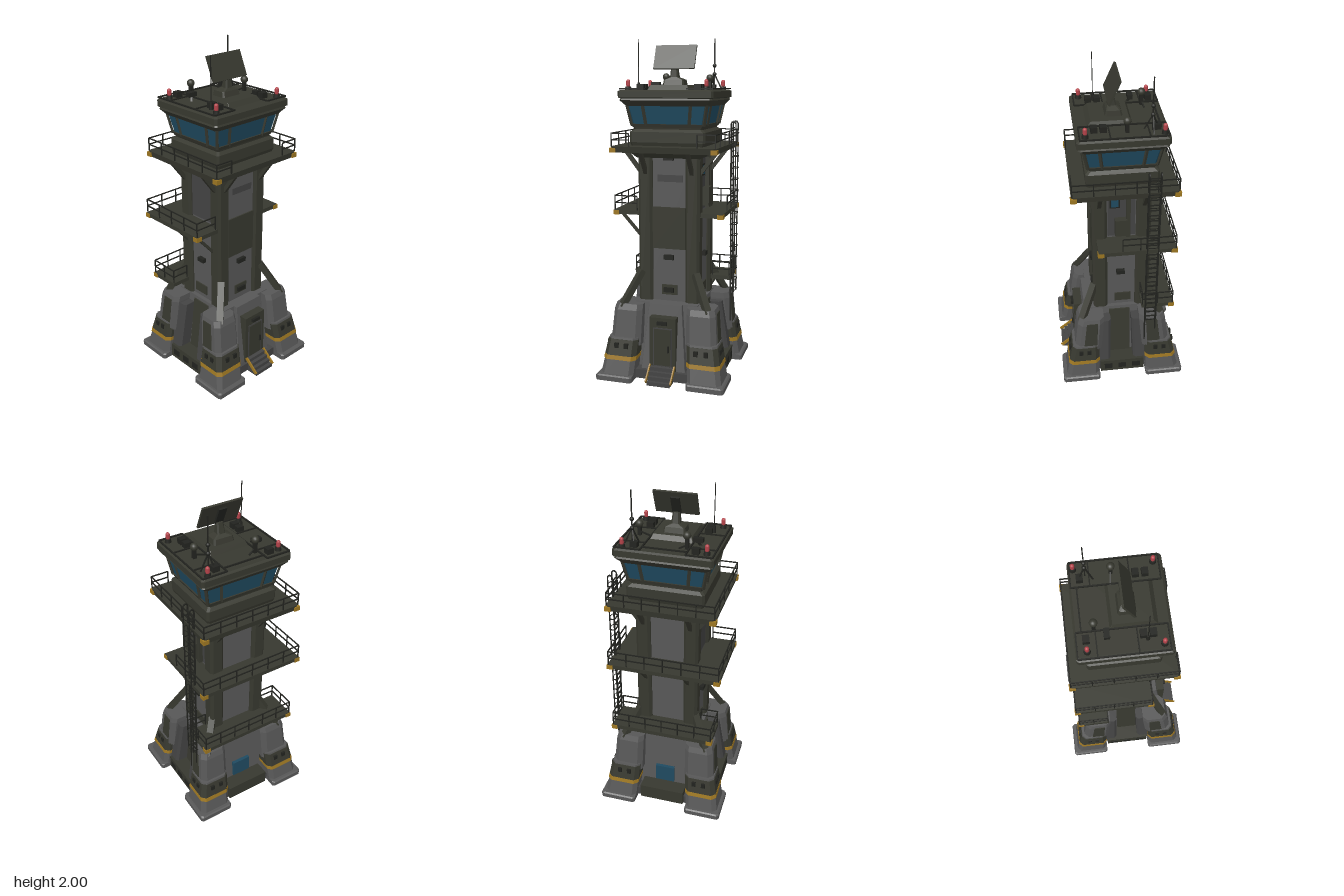
import * as THREE from 'three';

const mat = (name, color) => Object.assign(new THREE.MeshStandardMaterial({ color }), { name });
const M = {
  olive: mat('dark olive paint', 0x37382f),
  grey: mat('concrete grey', 0x575757),
  dark: mat('dark steel', 0x22231f),
  mid: mat('shadow grey', 0x434343),
  yellow: mat('warning yellow', 0x9c7622),
  glass: mat('blue glass', 0x1f4a60),
  red: mat('beacon red', 0xb5434a),
};
const CZ = -0.01; // tower axis in z

export function createModel() {
  const root = new THREE.Group();
  root.name = 'watchtower';
  let parent = root;
  const group = (name, build) => {
    const g = new THREE.Group();
    g.name = name;
    root.add(g);
    parent = g;
    build();
    parent = root;
  };
  const add = (name, geo, m, x = 0, y = 0, z = 0) => {
    const mesh = new THREE.Mesh(geo, m);
    mesh.name = name;
    mesh.position.set(x, y, z);
    parent.add(mesh);
    return mesh;
  };
  // box from its limits
  const box = (name, m, x0, x1, y0, y1, z0, z1) => add(name,
    new THREE.BoxGeometry(Math.abs(x1 - x0), y1 - y0, Math.abs(z1 - z0)), m, (x0 + x1) / 2, (y0 + y1) / 2, (z0 + z1) / 2);
  // faceted solid through chamfered rectangles [y, xa, xb, za, zb, chamfer]
  const loft = (name, m, sections) => {
    const rings = sections.map(([y, xa, xb, za, zb, c = 0.002]) => {
      const [x0, x1, z0, z1] = [Math.min(xa, xb), Math.max(xa, xb), Math.min(za, zb), Math.max(za, zb)];
      return [[x0 + c, z1], [x1 - c, z1], [x1, z1 - c], [x1, z0 + c], [x1 - c, z0], [x0 + c, z0], [x0, z0 + c], [x0, z1 - c]]
        .map(([x, z]) => [x, y, z]);
    });
    const p = [];
    for (let r = 0; r + 1 < rings.length; r++) for (let i = 0; i < 8; i++) {
      const j = (i + 1) % 8, [a, b] = [rings[r], rings[r + 1]];
      p.push(...a[i], ...a[j], ...b[j], ...a[i], ...b[j], ...b[i]);
    }
    const lo = rings[0], hi = rings[rings.length - 1];
    for (let i = 1; i < 7; i++) p.push(...hi[0], ...hi[i], ...hi[i + 1], ...lo[0], ...lo[i + 1], ...lo[i]);
    const g = new THREE.BufferGeometry();
    g.setAttribute('position', new THREE.Float32BufferAttribute(p, 3));
    g.computeVertexNormals();
    return add(name, g, m);
  };
  // square bar between two points
  const bar = (name, m, a, b, w = 0.006, d = w) => {
    const A = new THREE.Vector3(...a), B = new THREE.Vector3(...b);
    const mesh = add(name, new THREE.BoxGeometry(w, d, A.distanceTo(B)), m);
    mesh.position.copy(A).add(B).multiplyScalar(0.5);
    mesh.lookAt(B);
    return mesh;
  };
  const corners = (fn) => [-1, 1].forEach((sx) => [-1, 1].forEach((sz) => fn(sx, sz)));

  group('base', () => {
    box('foundation', M.mid, -0.3, 0.3, 0.005, 0.06, -0.3, 0.3);
    loft('core', M.grey, [[0.03, -0.235, 0.235, -0.235, 0.235], [0.45, -0.19, 0.19, -0.2, 0.2]]);
    corners((sx, sz) => {
      // footing, with the outline at height y grown by e
      const foot = (y, e) => {
        const t = (y - 0.03) / 0.22;
        return [y, sx * (0.165 - 0.015 * t - e), sx * (0.368 - 0.038 * t + e), sz * (0.15 - e), sz * (0.36 - 0.05 * t + e), 0.025];
      };
      loft('footSlab', M.grey, [[0, sx * 0.165, sx * 0.388, sz * 0.148, sz * 0.383, 0.012], [0.028, sx * 0.165, sx * 0.388, sz * 0.148, sz * 0.383, 0.012],
        [0.035, sx * 0.165, sx * 0.38, sz * 0.148, sz * 0.375, 0.012]]);
      loft('foot', M.grey, [foot(0.03, 0), foot(0.25, 0)]);
      loft('footCladding', M.olive, [foot(0.145, 0.003), foot(0.238, 0.003)]);
      loft('footStripe', M.yellow, [foot(0.12, 0.004), foot(0.145, 0.004)]);
      for (const x of [0.2, 0.26]) box('footVent', M.dark, sx * x, sx * (x + 0.025), 0.19, 0.22, sz * 0.31, sz * 0.332);
      for (const z of [0.2, 0.25]) box('footVent', M.dark, sx * 0.33, sx * 0.347, 0.19, 0.22, sz * z, sz * (z + 0.025));
      // stepped buttresses above the foot
      loft('buttress', M.grey, [[0.2, sx * 0.14, sx * 0.326, sz * 0.13, sz * 0.302, 0.028], [0.41, sx * 0.135, sx * 0.31, sz * 0.11, sz * 0.275, 0.028],
        [0.445, sx * 0.135, sx * 0.3, sz * 0.11, sz * 0.262, 0.028]]);
      loft('sideButtress', M.mid, [[0.06, sx * 0.18, sx * 0.32, sz * 0.075, sz * 0.18, 0.015], [0.4, sx * 0.15, sx * 0.27, sz * 0.065, sz * 0.15, 0.015]]);
      loft('buttressPanel', M.olive, [[0.25, sx * 0.2, sx * 0.326, sz * 0.16, sz * 0.24], [0.42, sx * 0.2, sx * 0.312, sz * 0.15, sz * 0.22]]);
      bar('cornerStrut', M.olive, [sx * 0.265, 0.42, sz * 0.25], [sx * 0.165, 0.63, sz * 0.155], 0.04, 0.035);
    });
    for (const s of [-1, 1]) {
      box('sideCrate', M.olive, s * 0.2, s * 0.33, 0.01, 0.1, -0.14, 0.14);
      for (const z of [-0.09, 0, 0.09]) box('crateVent', M.dark, s * 0.328, s * 0.334, 0.035, 0.075, z - 0.025, z + 0.025);
      loft('sidePanel', M.olive, [[0.1, s * 0.18, s * 0.24, -0.06, 0.07], [0.43, s * 0.15, s * 0.2, -0.06, 0.07]]);
    }
    box('rearCrate', M.olive, -0.14, 0.14, 0.01, 0.1, -0.32, -0.2);
    box('rearWindow', M.glass, -0.06, 0.06, 0.11, 0.22, -0.24, -0.2);
    // entrance
    loft('entranceWall', M.grey, [[0, -0.14, 0.14, 0.1, 0.285], [0.45, -0.1, 0.1, 0.1, 0.225]]);
    box('doorFrame', M.olive, -0.08, 0.08, 0.06, 0.385, 0.2, 0.285);
    box('door', M.mid, -0.058, 0.058, 0.09, 0.325, 0.28, 0.288);
    box('doorLeaf', M.olive, -0.05, 0.05, 0.095, 0.318, 0.284, 0.291);
    box('doorLamp', M.dark, -0.03, 0.03, 0.345, 0.365, 0.28, 0.3);
    box('doorHandle', M.dark, 0.032, 0.042, 0.18, 0.22, 0.285, 0.3);
    for (let i = 0; i < 4; i++) box('step', M.mid, -0.07, 0.07, 0, 0.022 * (4 - i), 0.27, 0.31 + i * 0.022);
    for (const s of [-1, 1]) bar('stepEdge', M.yellow, [s * 0.075, 0.095, 0.29], [s * 0.075, 0.02, 0.378], 0.008, 0.02);
  });

  group('shaft', () => {
    box('shaftCore', M.grey, -0.165, 0.165, 0.44, 1.37, CZ - 0.15, CZ + 0.155);
    corners((sx, sz) => {
      const at = (y) => [y, sx * 0.1, sx * 0.187, CZ + sz * 0.085, CZ + sz * 0.173, 0.015];
      loft('cornerPillar', M.olive, [at(0.42), at(1.37)]);
    });
    const front = CZ + 0.155;
    box('frontBand', M.olive, -0.1, 0.1, 0.77, 1.02, front, front + 0.008);
    for (const y of [0.52, 0.72, 1.31]) box('frontLamp', M.dark, -0.03, 0.03, y - 0.014, y + 0.014, front, front + 0.02);
    box('frontHatch', M.mid, -0.07, 0.08, 1.17, 1.21, front, front + 0.006);
    box('frontVent', M.olive, -0.045, 0.05, 0.49, 0.55, front, front + 0.008);
    for (const s of [-1, 1]) {
      box('sideLamp', M.dark, s * 0.165, s * 0.19, 0.71, 0.735, -0.03, 0.02);
      box('sideVent', M.olive, s * 0.165, s * 0.173, 0.48, 0.54, -0.07, 0.03);
      box('sideUpperPanel', M.mid, s * 0.165, s * 0.171, 1, 1.32, -0.09, 0.07);
    }
    box('sideWindowFrame', M.dark, 0.165, 0.178, 1.2, 1.27, 0, 0.06);
    box('sideWindow', M.glass, 0.17, 0.182, 1.21, 1.26, 0.01, 0.05);
    box('conduit', M.olive, 0.165, 0.195, 1.0, 1.3, -0.06, -0.035);
    box('junctionBox', M.olive, 0.165, 0.21, 1.02, 1.13, -0.04, 0.03);
  });

  // railing along a path of [x, z] points
  const railing = (y, h, path) => path.slice(1).forEach(([x1, z1], i) => {
    const [x0, z0] = path[i];
    for (const k of [0.5, 1]) bar('rail', M.dark, [x0, y + h * k, z0], [x1, y + h * k, z1]);
    const n = Math.max(1, Math.round(Math.hypot(x1 - x0, z1 - z0) / 0.11));
    for (let j = 0; j <= n; j++) {
      const x = x0 + (x1 - x0) * j / n, z = z0 + (z1 - z0) * j / n;
      box('railPost', M.dark, x - 0.003, x + 0.003, y, y + h, z - 0.003, z + 0.003);
    }
  });
  const cap = (x, y, z) => box('cornerMarker', M.yellow, x - 0.018, x + 0.018, y - 0.004, y + 0.022, z - 0.018, z + 0.018);

  group('lowerPlatform', () => {
    box('deck', M.olive, -0.31, 0.31, 0.53, 0.555, -0.315, -0.12);
    railing(0.55, 0.09, [[-0.2, -0.125], [-0.305, -0.125], [-0.305, -0.31], [0.305, -0.31], [0.305, -0.125], [0.2, -0.125]]);
    for (const s of [-1, 1]) { cap(s * 0.296, 0.53, -0.301); bar('brace', M.olive, [s * 0.14, 0.42, -0.17], [s * 0.2, 0.53, -0.29], 0.016); }
  });
  group('middlePlatform', () => {
    box('rearDeck', M.olive, -0.345, 0.32, 0.965, 0.99, -0.315, -0.17);
    box('leftDeck', M.olive, 0.17, 0.32, 0.965, 0.99, -0.315, 0.14);
    box('rightDeck', M.olive, -0.345, -0.17, 0.965, 0.99, -0.315, 0.15);
    railing(0.99, 0.085, [[-0.2, 0.145], [-0.34, 0.145], [-0.34, -0.31], [0.315, -0.31], [0.315, 0.0]]);
    for (const [x, z] of [[-0.331, 0.136], [-0.331, -0.301], [0.306, -0.301], [0.306, 0.126]]) cap(x, 0.965, z);
    for (const z of [-0.13, 0.1]) bar('brace', M.olive, [-0.18, 0.82, z], [-0.31, 0.965, z], 0.016);
    for (const x of [-0.13, 0.13]) bar('brace', M.olive, [x, 0.84, -0.17], [x, 0.965, -0.29], 0.016);
  });
  group('upperPlatform', () => {
    loft('deck', M.olive, [[1.345, -0.305, 0.305, -0.31, 0.275, 0.015], [1.38, -0.312, 0.312, -0.317, 0.282, 0.015]]);
    loft('deckSupport', M.olive, [[1.31, -0.19, 0.19, -0.19, 0.17], [1.35, -0.23, 0.23, -0.23, 0.21]]);
    railing(1.38, 0.075, [[-0.2, 0.276], [-0.306, 0.276], [-0.306, -0.311], [0.306, -0.311], [0.306, 0.276], [0.2, 0.276]]);
    corners((sx, sz) => {
      cap(sx * 0.298, 1.35, -0.018 + sz * 0.286);
      bar('brace', M.olive, [sx * 0.18, 1.22, CZ + sz * 0.13], [sx * 0.28, 1.35, CZ + sz * 0.13], 0.022);
      bar('brace', M.olive, [sx * 0.14, 1.22, CZ + sz * 0.165], [sx * 0.14, 1.35, CZ + sz * 0.26], 0.022);
    });
  });

  group('cabin', () => {
    const s = (y, hx, hz, c = 0.012) => [y, -hx, hx, CZ - hz, CZ + hz, c];
    loft('cabinWall', M.olive, [s(1.37, 0.215, 0.195), s(1.4, 0.225, 0.205), s(1.46, 0.225, 0.205), s(1.475, 0.205, 0.185), s(1.5, 0.218, 0.19)]);
    loft('windows', M.glass, [s(1.5, 0.212, 0.187), s(1.615, 0.236, 0.21)]);
    const mullion = (u, v) => bar('mullion', M.olive, [0.214 * u, 1.495, CZ + 0.189 * v], [0.238 * u, 1.62, CZ + 0.212 * v], 0.016, 0.012);
    corners((a, b) => { mullion(a, b); mullion(a * 0.6, b); mullion(a, b * 0.6); });
    loft('windowSill', M.olive, [s(1.485, 0.213, 0.19), s(1.505, 0.222, 0.197)]);
    loft('roof', M.olive, [s(1.607, 0.243, 0.216), s(1.64, 0.273, 0.243), s(1.65, 0.268, 0.238), s(1.655, 0.28, 0.25), s(1.69, 0.28, 0.25), s(1.698, 0.268, 0.238)]);
  });

  group('roofEquipment', () => {
    loft('roofHousing', M.olive, [[1.69, -0.125, 0.125, -0.08, 0.18], [1.725, -0.11, 0.11, -0.06, 0.15]]);
    for (const sx of [-1, 1]) {
      // pipe frames on either side
      const P = [[0.125, -0.25], [0.27, -0.25], [0.27, 0.22], [0.125, 0.22], [0.125, -0.25]].map(([x, z]) => [sx * x, 1.705, z]);
      P.slice(1).forEach((p, i) => bar('roofPipe', M.dark, P[i], p, 0.008));
      for (const z of [-0.15, 0.06]) bar('roofPipe', M.dark, [sx * 0.125, 1.705, z], [sx * 0.27, 1.705, z], 0.007);
      for (const z of [-0.2, 0.09, 0.14]) box('equipmentBox', M.dark, sx * 0.15, sx * 0.19, 1.69, 1.73, z - 0.018, z + 0.018);
      for (const z of [sx > 0 ? -0.23 : -0.2, 0.19]) {
        add('beaconBase', new THREE.CylinderGeometry(0.016, 0.02, 0.025, 10), M.dark, sx * 0.23, 1.705, z);
        add('beacon', new THREE.CapsuleGeometry(0.012, 0.02, 4, 10), M.red, sx * 0.23, 1.735, z);
      }
    }
    bar('roofPipe', M.dark, [-0.125, 1.71, -0.22], [0.125, 1.71, -0.22], 0.008);
    // radar
    loft('radarPedestal', M.olive, [[1.72, -0.065, 0.065, -0.03, 0.07, 0.01], [1.755, -0.06, 0.06, -0.02, 0.06, 0.008],
      [1.77, -0.025, 0.025, 0, 0.05, 0.008], [1.83, -0.02, 0.02, 0.015, 0.045, 0.008]]);
    const radar = add('radarPanel', new THREE.BoxGeometry(0.248, 0.148, 0.012), M.olive, 0, 1.885, 0.022);
    radar.rotation.x = -0.42;
    const back = add('radarSpine', new THREE.BoxGeometry(0.05, 0.11, 0.016), M.dark, 0, 1.873, 0.016);
    back.rotation.x = -0.42;
    // domes on masts
    for (const [x, z, h] of [[-0.11, -0.155, 1.775], [0.195, -0.035, 1.765]]) {
      box('domeMast', M.dark, x - 0.01, x + 0.01, 1.69, h, z - 0.01, z + 0.01);
      add('dome', new THREE.SphereGeometry(0.022, 14, 10), M.olive, x, h, z);
      bar('domeArm', M.dark, [x, 1.72, z], [x * 0.6, 1.7, z - 0.01], 0.008);
    }
    bar('cameraArm', M.dark, [-0.17, 1.69, -0.08], [-0.15, 1.73, -0.1], 0.012);
    box('camera', M.dark, -0.185, -0.13, 1.72, 1.745, -0.11, -0.08);
    // aerials
    box('thinAerial', M.dark, -0.197, -0.193, 1.69, 1.985, 0.108, 0.112);
    add('aerialFoot', new THREE.CylinderGeometry(0.008, 0.012, 0.05, 8), M.dark, -0.195, 1.715, 0.11);
    box('tallAerial', M.dark, 0.187, 0.193, 1.7, 2, -0.173, -0.167);
    for (const y of [1.79, 1.84]) add('aerialInsulator', new THREE.SphereGeometry(0.012, 10, 8), M.dark, 0.19, y, -0.17);
    for (let i = 0; i < 3; i++) {
      const a = i * 2.094;
      bar('tripodLeg', M.dark, [0.19, 1.79, -0.17], [0.19 + 0.05 * Math.cos(a), 1.69, -0.17 + 0.05 * Math.sin(a)], 0.007);
    }
  });

  group('ladder', () => {
    const z0 = -0.205, z1 = -0.14, zc = (z0 + z1) / 2, xi = 0.303, xo = 0.333;
    for (const z of [z0, z1]) {
      bar('stringer', M.dark, [xi + 0.012, 0.26, z], [xi, 1.49, z], 0.008);
      bar('cageBar', M.dark, [xo, 0.45, z], [xo, 1.49, z], 0.006);
      const arch = add('topArch', new THREE.TorusGeometry(0.015, 0.004, 5, 10, Math.PI), M.dark, (xi + xo) / 2, 1.488, z);
      arch.scale.y = 1.4;
    }
    for (let y = 0.28; y < 1.48; y += 0.035) bar('rung', M.dark, [xi + 0.006, y, z0], [xi + 0.006, y, z1]);
    // safety cage
    for (let y = 0.46; y < 1.5; y += 0.07) {
      for (const z of [z0, z1]) bar('cageStay', M.dark, [xi, y, z], [xo, y, z], 0.005);
      const hoop = add('cageHoop', new THREE.TorusGeometry(0.0325, 0.003, 4, 10, Math.PI), M.dark, xo, y, zc);
      hoop.rotation.set(Math.PI / 2, 0, -Math.PI / 2);
      hoop.scale.y = 0.35;
    }
  });
  return root;
}
